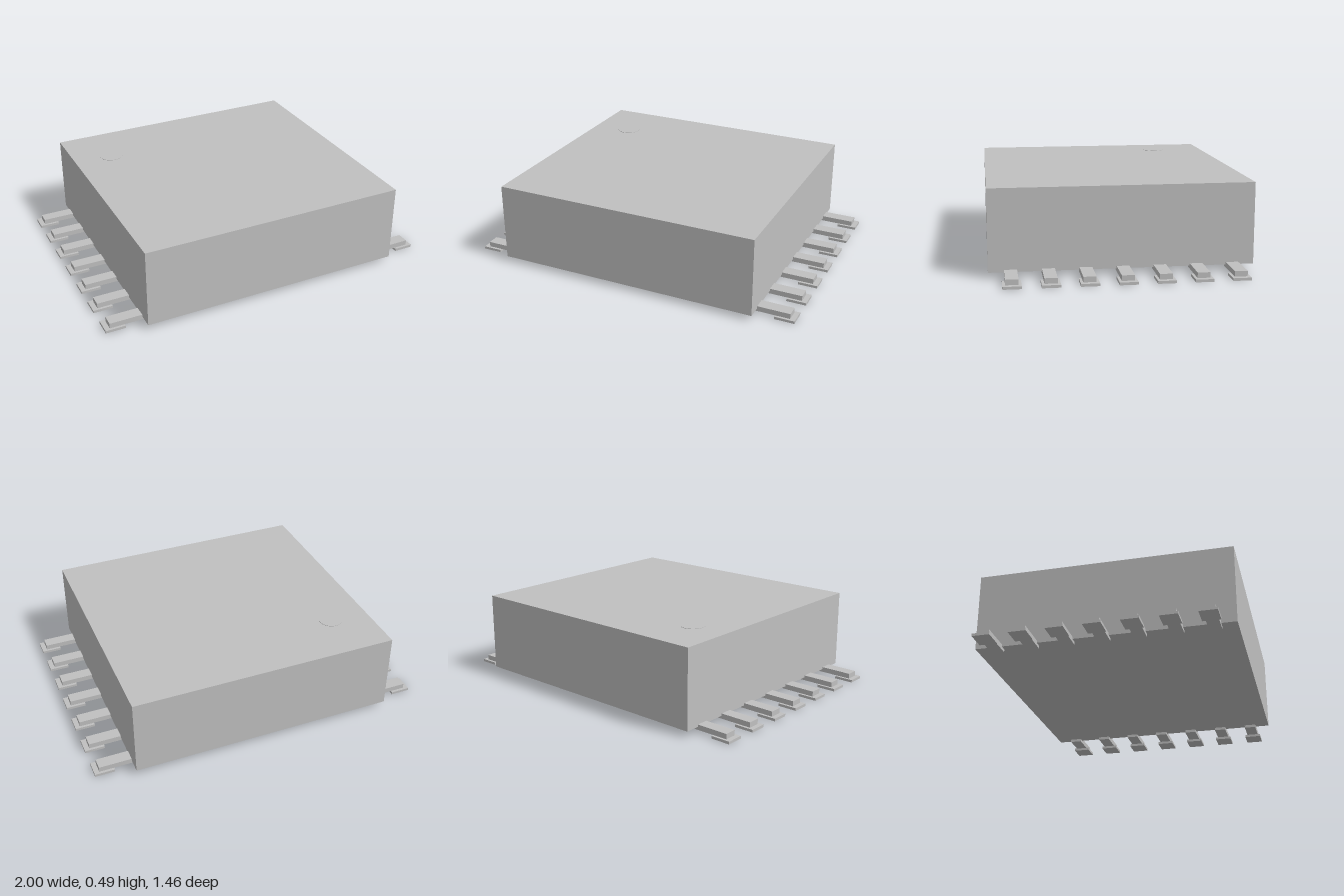
import * as THREE from 'three';

export function createModel() {
  const model = new THREE.Group();
  model.name = 'chipPackage';

  const grey = new THREE.MeshStandardMaterial({ color: 0xc0c0c0 });
  grey.name = 'grey';

  // Box given by its min and max corners
  function box(name, [x0, y0, z0], [x1, y1, z1], parent) {
    const mesh = new THREE.Mesh(new THREE.BoxGeometry(x1 - x0, y1 - y0, z1 - z0), grey);
    mesh.position.set((x0 + x1) / 2, (y0 + y1) / 2, (z0 + z1) / 2);
    mesh.name = name;
    parent.add(mesh);
  }

  // Moulded body
  box('body', [-0.782, 0.032, -0.73], [0.782, 0.49, 0.73], model);

  // Round pin-one marker, almost flush with the top
  const marker = new THREE.Mesh(new THREE.CylinderGeometry(0.07, 0.07, 0.006, 32), grey);
  marker.position.set(-0.55, 0.489, -0.413);
  marker.name = 'pinOneMarker';
  model.add(marker);

  // Seven leads on each side, each a narrow arm resting on a wider foot
  const pitch = 0.203;
  for (const [side, s] of [['left', 1], ['right', -1]]) {
    for (let i = 0; i < 7; i++) {
      const lead = new THREE.Group();
      lead.name = `${side}Lead${i + 1}`;
      lead.position.z = (i - 3) * pitch;
      const inOut = (a, b) => (s > 0 ? [a, b] : [-b, -a]);
      const [a0, a1] = inOut(0.743, 0.971);
      const [f0, f1] = inOut(0.885, 1);
      box('arm', [a0, 0.015, -0.035], [a1, 0.045, 0.035], lead);
      box('foot', [f0, 0, -0.05], [f1, 0.015, 0.05], lead);
      model.add(lead);
    }
  }

  return model;
}
